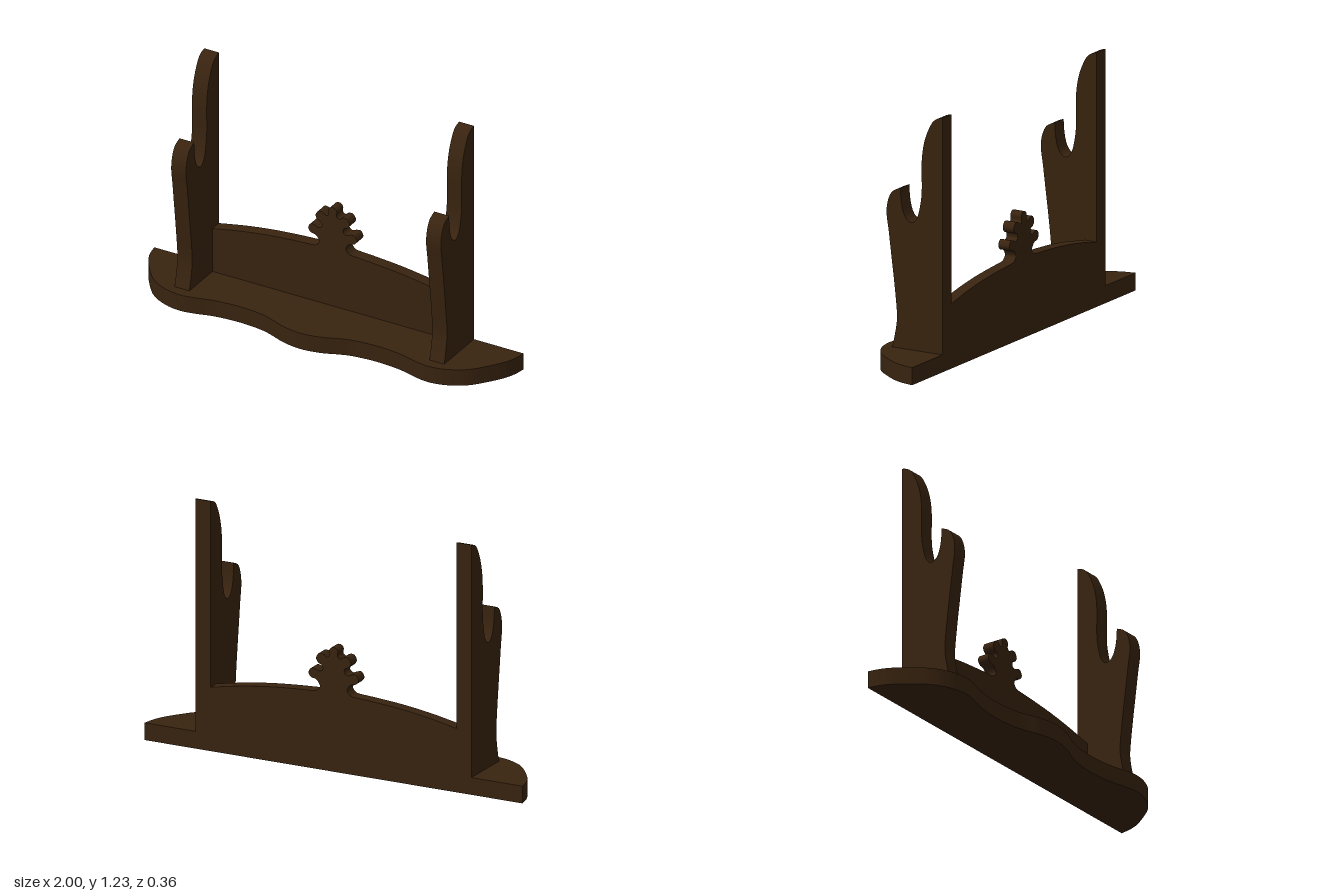
import * as THREE from 'three';
import { toCreasedNormals } from 'three/addons/utils/BufferGeometryUtils.js';

const BACK = -0.18, BASE_TOP = 0.085;

// Closed shape from smooth runs of points; the joins between runs stay sharp.
function shapeFromRuns(runs) {
  const pts = [];
  for (const run of runs) {
    const v = run.map(([x, y]) => new THREE.Vector2(x, y));
    pts.push(...(v.length > 2 ? new THREE.SplineCurve(v).getPoints((v.length - 1) * 5) : v));
  }
  return new THREE.Shape(pts.filter((p, i) => i === 0 || p.distanceTo(pts[i - 1]) > 1e-5));
}

// Right half (ending on the centre line) followed by its mirror image.
function mirrored(half) {
  const other = half.slice(0, -1).reverse().map(([x, y]) => [-x, y]);
  return [...half, ...other];
}

function slab(shape, depth) {
  return new THREE.ExtrudeGeometry(shape, { depth, bevelEnabled: false });
}

export function createModel() {
  const model = new THREE.Group();
  const wood = new THREE.MeshStandardMaterial({ color: 0x38230f });
  wood.name = 'darkWood';
  const add = (name, geometry) => {
    const mesh = new THREE.Mesh(toCreasedNormals(geometry, 0.6), wood);
    mesh.name = name;
    model.add(mesh);
    return mesh;
  };

  // Base board with a wavy front edge
  const frontEdge = mirrored([
    [1, -0.18], [0.985, -0.11], [0.95, -0.04], [0.86, 0.075], [0.77, 0.13],
    [0.68, 0.15], [0.6, 0.14], [0.5, 0.115], [0.37, 0.105], [0.25, 0.115],
    [0.18, 0.135], [0.1, 0.165], [0, 0.18],
  ]).map(([x, z]) => [x, -z]);
  add('base', slab(shapeFromRuns([frontEdge]), BASE_TOP).rotateX(-Math.PI / 2));

  // Two upright posts with a cradle notch, outlined in z and y
  const post = shapeFromRuns([
    [[BACK, BASE_TOP], [0.095, BASE_TOP]],
    [[0.095, BASE_TOP], [0.08, 0.15], [0.069, 0.22], [0.071, 0.28], [0.085, 0.41],
      [0.1, 0.53], [0.115, 0.65], [0.126, 0.73], [0.119, 0.79], [0.095, 0.838], [0.05, 0.861]],
    [[0.05, 0.861], [0.046, 0.8], [0.034, 0.746], [0.014, 0.713], [-0.015, 0.703],
      [-0.043, 0.733], [-0.06, 0.8], [-0.067, 0.87], [-0.067, 1.01], [-0.083, 1.11],
      [-0.117, 1.19], [-0.145, 1.22], [BACK, 1.232]],
  ]);
  for (const [name, x] of [['leftPost', 0.73], ['rightPost', -0.65]]) {
    add(name, slab(post, 0.08).rotateY(-Math.PI / 2)).position.x = x;
  }

  // Back rail with an arched top and a lobed finial, cut from one board
  const topEdge = mirrored([
    [0.65, 0.315], [0.5, 0.344], [0.35, 0.365], [0.2, 0.378], [0.105, 0.384],
    [0.085, 0.392], [0.072, 0.41], [0.082, 0.432], [0.098, 0.444], [0.118, 0.448],
    [0.132, 0.47], [0.118, 0.494], [0.095, 0.492], [0.074, 0.484], [0.057, 0.497],
    [0.062, 0.517], [0.08, 0.525], [0.092, 0.547], [0.078, 0.572], [0.054, 0.572],
    [0.036, 0.56], [0.021, 0.572], [0.023, 0.594], [0.015, 0.608], [0, 0.613],
  ]);
  const rail = shapeFromRuns([[[-0.65, BASE_TOP], [0.65, BASE_TOP]], topEdge]);
  add('backRail', slab(rail, 0.06)).position.z = BACK;

  return model;
}
